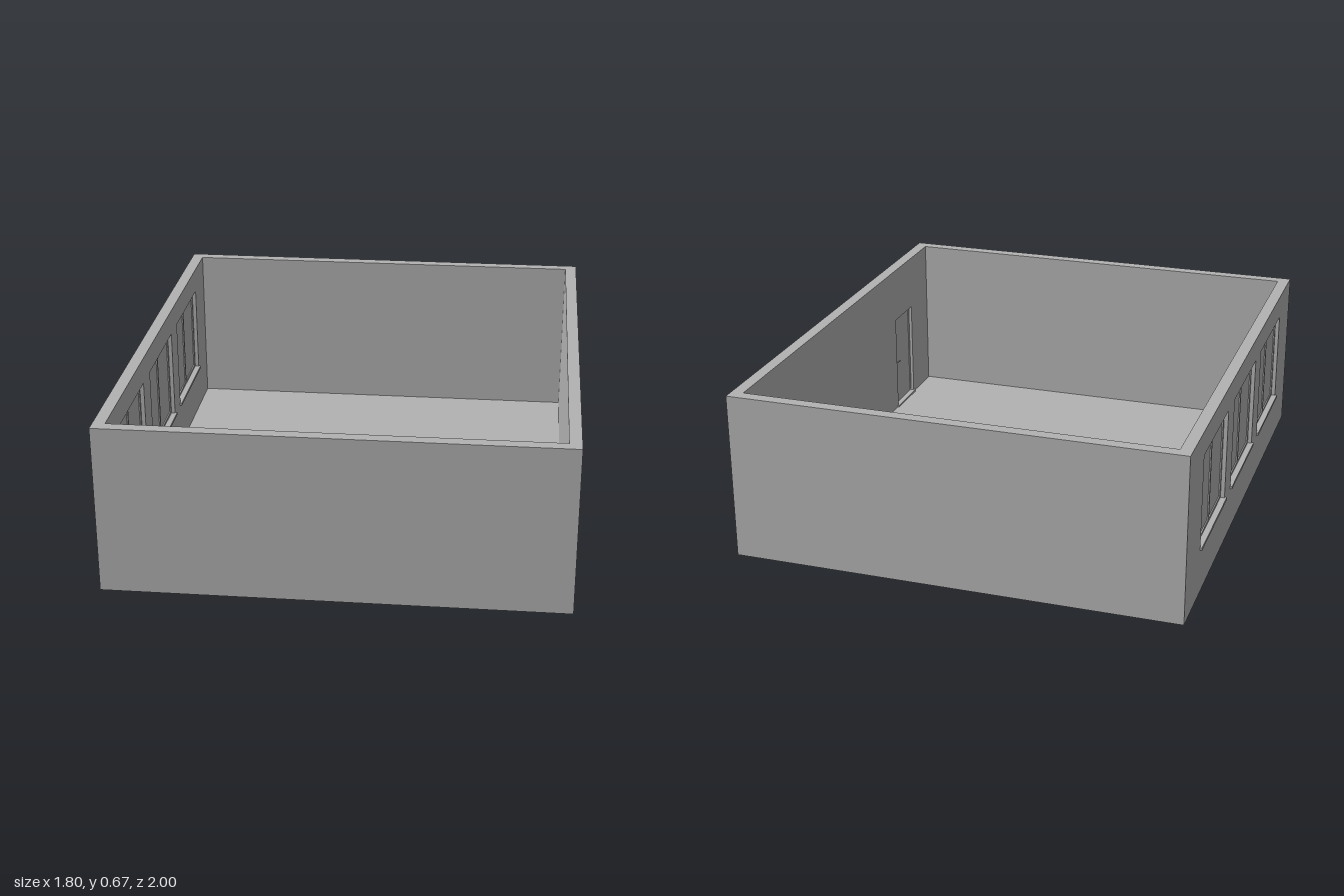
import * as THREE from 'three';

const W = 0.89, D = 1, H = 0.67, T = 0.048; // half width, half depth, height, wall thickness

export function createModel() {
  const room = new THREE.Group();
  room.name = 'room';
  const grey = new THREE.MeshStandardMaterial({ color: 0xb2b2b2 });
  grey.name = 'plaster grey';

  function box(parent, name, sx, sy, sz, x, y, z) {
    const m = new THREE.Mesh(new THREE.BoxGeometry(sx, sy, sz), grey);
    m.name = name;
    m.position.set(x, y, z);
    parent.add(m);
    return m;
  }

  // Side wall with rectangular openings [zMin, zMax, yMin, yMax]
  function sideWall(name, x0, openings) {
    const rect = (path, u0, u1, v0, v1) =>
      path.moveTo(u0, v0).lineTo(u1, v0).lineTo(u1, v1).lineTo(u0, v1).closePath();
    const shape = rect(new THREE.Shape(), -D, D, 0, H);
    for (const [z0, z1, y0, y1] of openings) {
      shape.holes.push(rect(new THREE.Path(), -z1, -z0, y0, y1));
    }
    const geo = new THREE.ExtrudeGeometry(shape, { depth: T, bevelEnabled: false });
    geo.rotateY(Math.PI / 2);
    const m = new THREE.Mesh(geo, grey);
    m.name = name;
    m.position.x = x0;
    room.add(m);
  }

  // Shell
  const inner = 2 * (W - T);
  box(room, 'floor', inner, 0.006, 2 * (D - T), 0, 0.003, 0);
  box(room, 'frontWall', inner, H, T, 0, H / 2, D - T / 2);
  box(room, 'backWall', inner, H, T, 0, H / 2, -D + T / 2);

  const winZ = [-0.547, 0, 0.547], winHalf = 0.215, winLow = 0.19, winHigh = 0.57;
  const door = { z0: 0.558, z1: 0.752, y0: 0.006, y1: 0.435 };
  sideWall('windowWall', -W, winZ.map(z => [z - winHalf, z + winHalf, winLow, winHigh]));
  sideWall('doorWall', W - T, [[door.z0, door.z1, door.y0, door.y1]]);

  // Windows: two panes, slim frame, centre mullion and a projecting sill
  for (const z of winZ) {
    const win = new THREE.Group();
    win.name = 'window';
    win.position.set(-W + T / 2, 0, z);
    room.add(win);
    const h = winHigh - winLow, mid = (winHigh + winLow) / 2, f = 0.012;
    box(win, 'panes', 0.006, h, 2 * winHalf, 0, mid, 0);
    for (const side of [-1, 0, 1]) {
      box(win, side ? 'frameSide' : 'mullion', 0.016, h, f, 0, mid, side * (winHalf - f / 2));
    }
    box(win, 'frameTop', 0.016, f, 2 * winHalf, 0, winHigh - f / 2, 0);
    box(win, 'frameBottom', 0.016, f, 2 * winHalf, 0, winLow + f / 2 + 0.008, 0);
    box(win, 'sill', T + 0.016, 0.012, 2 * winHalf + 0.014, 0, winLow + 0.004, 0);
  }

  // Door: recessed leaf, frame, threshold and lever handles on both faces
  const doorGroup = new THREE.Group();
  doorGroup.name = 'door';
  doorGroup.position.set(W - T / 2, 0, (door.z0 + door.z1) / 2);
  room.add(doorGroup);
  const dw = door.z1 - door.z0, dh = door.y1 - door.y0, dm = (door.y0 + door.y1) / 2;
  box(doorGroup, 'leaf', 0.014, dh, dw, 0, dm, 0);
  for (const s of [-1, 1]) box(doorGroup, 'doorJamb', 0.022, dh, 0.006, 0, dm, s * (dw / 2 - 0.003));
  box(doorGroup, 'doorHead', 0.022, 0.006, dw, 0, door.y1 - 0.003, 0);
  box(doorGroup, 'threshold', T + 0.014, 0.014, dw + 0.014, 0, 0.007, 0);
  for (const s of [-1, 1]) {
    const spindle = new THREE.Mesh(new THREE.CylinderGeometry(0.003, 0.003, 0.018, 10), grey);
    spindle.name = 'handleSpindle';
    spindle.rotation.z = Math.PI / 2;
    spindle.position.set(s * 0.014, 0.222, -dw / 2 + 0.014);
    doorGroup.add(spindle);
    box(doorGroup, 'handleLever', 0.005, 0.006, 0.027, s * 0.022, 0.222, -dw / 2 + 0.024);
  }

  return room;
}
